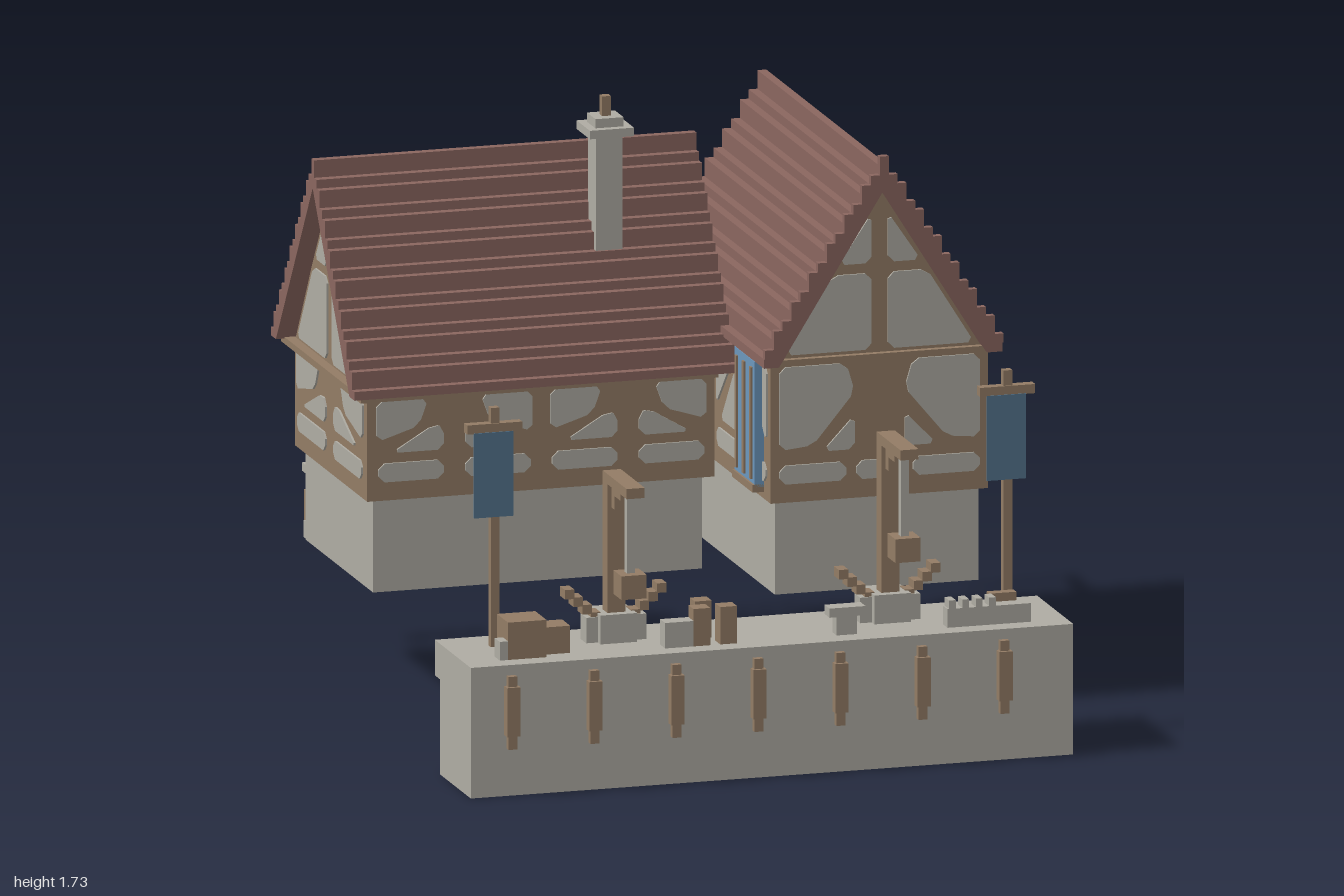
import * as THREE from 'three';

const mat = (name, color) => Object.assign(new THREE.MeshStandardMaterial({ color }), { name });
const wood = mat('wood', 0x937c65), stone = mat('stone', 0xafaca3), tile = mat('roof tile', 0x8a665f);
const glass = mat('window blue', 0x6c97bd), cloth = mat('banner cloth', 0x54748e);

function add(parent, name, geo, m) {
  const mesh = new THREE.Mesh(geo, m);
  mesh.name = name;
  parent.add(mesh);
  return mesh;
}
// Box given by its extents on each axis
function box(p, name, m, x0, x1, y0, y1, z0, z1) {
  const b = add(p, name, new THREE.BoxGeometry(x1 - x0, y1 - y0, z1 - z0), m);
  b.position.set((x0 + x1) / 2, (y0 + y1) / 2, (z0 + z1) / 2);
  return b;
}
function group(p, name, x = 0, y = 0, z = 0, turn = 0) {
  const g = new THREE.Group();
  g.name = name;
  g.position.set(x, y, z);
  g.rotation.y = turn;
  p.add(g);
  return g;
}
const polygon = pts => new THREE.Shape(pts.map(p => new THREE.Vector2(p[0], p[1])));
const extrude = (pts, depth) => new THREE.ExtrudeGeometry(polygon(pts), { depth, bevelEnabled: false });

// Walls and top, open underneath
function hollow(p, name, x0, x1, y0, y1, z0, z1) {
  const g = group(p, name), t = 0.012;
  box(g, 'frontWall', stone, x0, x1, y0, y1, z1 - t, z1);
  box(g, 'backWall', stone, x0, x1, y0, y1, z0, z0 + t);
  box(g, 'rightWall', stone, x0, x0 + t, y0, y1, z0, z1);
  box(g, 'leftWall', stone, x1 - t, x1, y0, y1, z0, z1);
  box(g, 'top', stone, x0, x1, y1 - t, y1, z0, z1);
}

// Stepped roof along z, alternating low and tall courses
function roof(p, name, hw, rise, n, depth, thick) {
  const side = [], dx = hw / (n + 0.5), unit = rise / (n * 1.5 + 1.5);
  let y = 0;
  for (let i = 0; i <= n; i++) {
    side.push([hw - i * dx, y]);
    y = i === n ? rise : y + unit * (i % 2 ? 2 : 1);
    side.push([hw - i * dx, y]);
  }
  const left = side.map(([x, h]) => [-x, h]).reverse();
  const inner = [[-hw + thick, 0], [0, rise - thick * 1.7], [hw - thick, 0]];
  return add(p, name, extrude([...side, ...left, ...inner], depth), tile);
}

// Plaster plate with cut corners, lying on a wall
function plaster(p, pts, cut = 0.018) {
  const out = [];
  pts.forEach((a, i) => {
    for (const b of [pts[(i + pts.length - 1) % pts.length], pts[(i + 1) % pts.length]]) {
      const k = Math.min(cut / Math.hypot(b[0] - a[0], b[1] - a[1]), 0.4);
      out.push([a[0] + (b[0] - a[0]) * k, a[1] + (b[1] - a[1]) * k]);
    }
  });
  // keep the outline counter-clockwise when mirrored
  if (THREE.ShapeUtils.area(out.map(q => new THREE.Vector2(q[0], q[1]))) < 0) out.reverse();
  add(p, 'plasterPanel', extrude(out, 0.006), stone);
}
// Timber bays with alternating diagonal braces
function bays(wall, width, top, n) {
  const b = width / n;
  for (let i = 0; i < n; i++) {
    const c = -width / 2 + (i + 0.5) * b, s = i % 2 ? -1 : 1, h = b / 2 - 0.015;
    const X = u => c + s * u * h;
    plaster(wall, [[X(-0.85), 0.69], [X(0.85), 0.69], [X(0.85), 0.745], [X(-0.85), 0.745]]);
    plaster(wall, [[X(-0.9), top], [X(0.45), top], [X(0.2), top - 0.08], [X(-0.9), 0.81]]);
    plaster(wall, [[X(-0.5), 0.775], [X(0.85), 0.775], [X(0.85), top - 0.09], [X(0.6), top - 0.08]]);
  }
}
// Gable triangle with four plaster fields
function gable(wall, hw, y0, apex) {
  const h = apex - y0, yb = y0 + h * 0.5;
  const w = y => hw * (apex - y) / h - 0.03;
  for (const s of [-1, 1]) {
    plaster(wall, [[s * 0.025, y0 + 0.02], [s * w(y0 + 0.02), y0 + 0.02], [s * w(yb - 0.015), yb - 0.015], [s * 0.025, yb - 0.015]]);
    plaster(wall, [[s * 0.025, yb + 0.015], [s * w(yb + 0.015), yb + 0.015], [s * 0.025, apex - 0.1]]);
  }
}
function bayWindow(p, x, y, z, turn, w, h) {
  const g = group(p, 'bayWindow', x, y, z, turn);
  box(g, 'pane', glass, -w / 2, w / 2, 0, h, -0.02, 0.028);
  for (const u of [-0.36, 0, 0.36]) box(g, 'mullion', wood, u * w - 0.008, u * w + 0.008, 0.02, h - 0.02, 0, 0.034);
  box(g, 'sill', wood, -w / 2, w / 2, -0.015, 0.008, -0.02, 0.034);
}

function buildHouse(root) {
  const PI = Math.PI;
  // Main range, ridge along x
  const main = group(root, 'mainRange');
  hollow(main, 'mainBase', -0.85, 0.135, 0.36, 0.64, -0.73, -0.07);
  box(main, 'upperFloor', wood, -0.875, 0.165, 0.635, 0.945, -0.755, -0.045);
  box(main, 'eaveBeam', wood, -0.905, 0.165, 0.935, 0.955, -0.79, -0.01);
  const mg = group(main, 'gableBody', 0.165, 0, -0.4, -PI / 2);
  add(mg, 'gableTimber', extrude([[-0.355, 0.94], [0.355, 0.94], [0, 1.5]], 1.04), wood);
  const mr = group(main, 'mainRoof', -0.93, 0.95, -0.4, PI / 2);
  roof(mr, 'roofTiles', 0.41, 0.615, 15, 1.145, 0.05);
  bays(group(main, 'frontFrame', -0.355, 0, -0.045), 1.04, 0.93, 4);
  bays(group(main, 'backFrame', -0.355, 0, -0.755, PI), 1.04, 0.93, 4);
  const end = group(main, 'endFrame', -0.875, 0, -0.4, -PI / 2);
  bays(end, 0.71, 0.93, 2);
  gable(end, 0.355, 0.945, 1.5);
  gable(group(main, 'innerGable', 0.165, 0, -0.4, PI / 2), 0.355, 0.945, 1.5);
  for (const x of [-0.02, -0.68]) bayWindow(main, x, 0.665, -0.78, PI, 0.23, 0.27);

  // Dormers on the back slope
  for (const x of [-0.605, -0.215]) {
    const d = group(main, 'dormer', x, 0, -0.75, PI);
    box(d, 'dormerFront', wood, -0.078, 0.078, 1.02, 1.2, -0.2, -0.015);
    add(d, 'dormerGable', extrude([[-0.078, 1.19], [0.078, 1.19], [0, 1.3]], 0.1), stone).position.z = -0.115;
    box(d, 'dormerWindow', glass, -0.045, 0.045, 1.07, 1.18, -0.02, -0.008);
    box(d, 'mullion', wood, -0.006, 0.006, 1.07, 1.18, -0.02, -0.003);
    const r = roof(d, 'dormerRoof', 0.105, 0.15, 4, 0.24, 0.03);
    r.position.set(0, 1.18, -0.23);
  }
  // Chimney
  const ch = group(root, 'chimney', -0.1, 0, -0.25);
  [[0.04, 1.25, 1.62], [0.066, 1.62, 1.645], [0.042, 1.645, 1.672]].forEach(([h, a, b]) =>
    box(ch, 'chimneyStone', stone, -h, h, a, b, -h, h));
  box(ch, 'chimneyPot', wood, -0.013, 0.013, 1.672, 1.73, -0.013, 0.013);

  // Cross wing, ridge along z
  const wing = group(root, 'wing', 0.5475, 0, 0);
  hollow(wing, 'wingBase', -0.305, 0.305, 0.36, 0.64, -0.75, 0.29);
  box(wing, 'upperFloor', wood, -0.325, 0.325, 0.635, 1.05, -0.775, 0.315);
  box(wing, 'eaveBeam', wood, -0.345, 0.345, 1.04, 1.06, -0.81, 0.335);
  add(wing, 'gableTimber', extrude([[-0.325, 1.05], [0.325, 1.05], [0, 1.57]], 1.09), wood).position.z = -0.775;
  roof(wing, 'wingRoof', 0.357, 0.575, 13, 1.19, 0.045).position.set(0, 1.045, -0.835);
  roof(wing, 'gableRim', 0.357, 0.575, 13, 0.022, 0.045).position.set(0, 1.073, 0.343);
  bays(group(wing, 'leftFrame', 0.325, 0, -0.23, PI / 2), 1.09, 1.03, 4);
  bays(group(wing, 'rightFrame', -0.325, 0, -0.23, -PI / 2), 1.09, 1.03, 4);
  for (const back of [0, 1]) {
    const f = group(wing, back ? 'backFrame' : 'frontFrame', 0, 0, back ? -0.775 : 0.315, back * PI);
    gable(f, 0.325, 1.05, 1.57);
    for (const s of [-1, 1]) {
      plaster(f, [[s * 0.3, 1.035], [s * 0.1, 1.035], [s * 0.075, 0.95], [s * 0.2, 0.8], [s * 0.3, 0.79]]);
      plaster(f, [[s * 0.075, 0.78], [s * 0.17, 0.78], [s * 0.075, 0.88]]);
      plaster(f, [[s * 0.3, 0.69], [s * 0.1, 0.69], [s * 0.1, 0.745], [s * 0.3, 0.745]]);
    }
    plaster(f, [[-0.07, 0.69], [0.07, 0.69], [0.07, 0.745], [-0.07, 0.745]]);
  }
  bayWindow(wing, -0.325, 0.67, 0.15, -PI / 2, 0.2, 0.37);
  box(wing, 'loadingDoor', wood, -0.065, 0.065, 0.76, 0.97, -0.79, -0.77);
  // Hoist on the back gable
  box(wing, 'hoistArm', wood, -0.02, 0.005, 1.175, 1.2, -1, -0.77);
  box(wing, 'hoistRope', stone, -0.018, 0.003, 0.83, 1.175, -1, -0.98);
  box(wing, 'hoistHook', wood, -0.02, 0.03, 0.88, 0.905, -1, -0.975);

  // Back arcade columns and doors
  for (const [x, z] of [[-0.44, -0.74], [-0.63, -0.74], [-0.82, -0.74], [0.69, -0.76], [0.48, -0.76], [0.27, -0.76]]) {
    const c = group(root, 'column', x, 0, z);
    box(c, 'shaft', tile, -0.018, 0.018, 0.4, 0.57, -0.018, 0.015);
    box(c, 'columnBase', stone, -0.026, 0.026, 0.36, 0.41, -0.024, 0.015);
    box(c, 'columnCap', stone, -0.03, 0.03, 0.555, 0.58, -0.025, 0.015);
    box(c, 'bracket', wood, -0.018, 0.018, 0.58, 0.635, -0.018, 0.015);
  }
  box(root, 'backDoor', wood, -0.22, -0.08, 0.36, 0.59, -0.738, -0.725);
}

function buildYard(root) {
  const g = group(root, 'backYardGoods');
  box(g, 'crate', wood, -0.245, -0.14, 0.36, 0.49, -0.975, -0.87);
  box(g, 'smallCrate', wood, -0.22, -0.14, 0.49, 0.55, -0.95, -0.88);
  box(g, 'crateHandle', wood, -0.14, -0.115, 0.36, 0.47, -0.95, -0.92);
  for (const x of [-0.77, -0.66]) box(g, 'barrel', wood, x - 0.027, x + 0.027, 0.36, 0.46, -0.92, -0.87);
  box(g, 'post', wood, 0.19, 0.216, 0.36, 0.58, -0.95, -0.922);
  box(g, 'benchSeat', stone, 0.355, 0.52, 0.41, 0.435, -0.92, -0.87);
  for (const x of [0.375, 0.48]) box(g, 'benchLeg', stone, x, x + 0.025, 0.36, 0.41, -0.91, -0.88);
}

function buildQuay(root) {
  const q = group(root, 'quay');
  hollow(q, 'quayWall', -0.875, 0.928, 0, 0.385, 0.67, 0.97);
  box(q, 'ledge', stone, -0.875, 0.928, 0.28, 0.385, 0.617, 0.67);
  // Fender stakes
  for (let i = 0; i < 7; i++) {
    const x = -0.755 + i * 0.2455;
    box(q, 'stake', wood, x - 0.013, x + 0.013, 0.14, 0.355, 0.96, 0.99);
    box(q, 'stakeBelly', wood, x - 0.02, x + 0.02, 0.18, 0.325, 0.96, 1);
  }
  // Banners
  for (const x of [-0.735, 0.8]) {
    const b = group(q, 'banner', x, 0, 0.74);
    box(b, 'pole', wood, -0.013, 0.013, 0.385, 1.09, -0.015, 0.01);
    box(b, 'crossbar', wood, -0.085, 0.08, 1.018, 1.045, -0.015, 0.015);
    box(b, 'flag', cloth, -0.065, 0.052, 0.77, 1.02, 0.01, 0.018);
  }
  // Cranes
  for (const [x, top, load] of [[-0.383, 0.88, 0.56], [0.437, 0.935, 0.61]]) {
    const c = group(q, 'crane', x, 0, 0.76);
    box(c, 'footing', stone, -0.055, 0.055, 0.385, 0.47, -0.07, 0.05);
    box(c, 'plinth', stone, -0.09, 0.09, 0.385, 0.46, -0.03, 0.025);
    box(c, 'mast', wood, -0.027, 0.027, 0.385, top, -0.02, 0.025);
    box(c, 'jib', wood, -0.027, 0.027, top - 0.03, top, -0.02, 0.215);
    box(c, 'brace', wood, -0.014, 0.014, top - 0.1, top - 0.03, 0.02, 0.055);
    box(c, 'pulley', wood, -0.014, 0.014, top - 0.06, top - 0.03, 0.05, 0.11);
    box(c, 'rope', stone, -0.025, 0.0, load, top - 0.03, 0.185, 0.21);
    box(c, 'load', wood, -0.05, 0.025, load - 0.0, load + 0.07, 0.16, 0.24);
    // Stepped handles on both sides
    for (const s of [-1, 1]) for (let i = 0; i < 4; i++) {
      const u = s * (0.06 + i * 0.026), y = 0.445 + i * 0.024;
      box(c, 'handle', wood, u - 0.014, u + 0.014, y, y + 0.028, -0.03, 0.02);
    }
  }
  // Goods along the quay
  const goods = [[-0.745, -0.63, 0.495, 0.8, 0.91], [-0.63, -0.55, 0.465, 0.8, 0.88], [-0.16, -0.11, 0.495, 0.775, 0.825],
    [-0.19, -0.14, 0.495, 0.86, 0.91], [-0.11, -0.06, 0.495, 0.86, 0.91], [0.71, 0.79, 0.465, 0.835, 0.865]];
  for (const [x0, x1, y, z0, z1] of goods) box(q, 'crate', wood, x0, x1, 0.385, y, z0, z1);
  box(q, 'slab', stone, -0.77, -0.745, 0.385, 0.44, 0.86, 0.91);
  box(q, 'slab', stone, -0.275, -0.19, 0.385, 0.46, 0.86, 0.91);
  box(q, 'stoolSeat', stone, 0.217, 0.325, 0.44, 0.467, 0.86, 0.91);
  box(q, 'stoolLeg', stone, 0.24, 0.3, 0.385, 0.44, 0.865, 0.905);
  box(q, 'trough', stone, 0.57, 0.82, 0.385, 0.44, 0.865, 0.91);
  for (let i = 0; i < 4; i++) box(q, 'troughTooth', stone, 0.575 + i * 0.04, 0.595 + i * 0.04, 0.44, 0.465, 0.865, 0.91);
}

export function createModel() {
  const root = new THREE.Group();
  root.name = 'harbourHouse';
  buildHouse(root);
  buildYard(root);
  buildQuay(root);
  return root;
}
